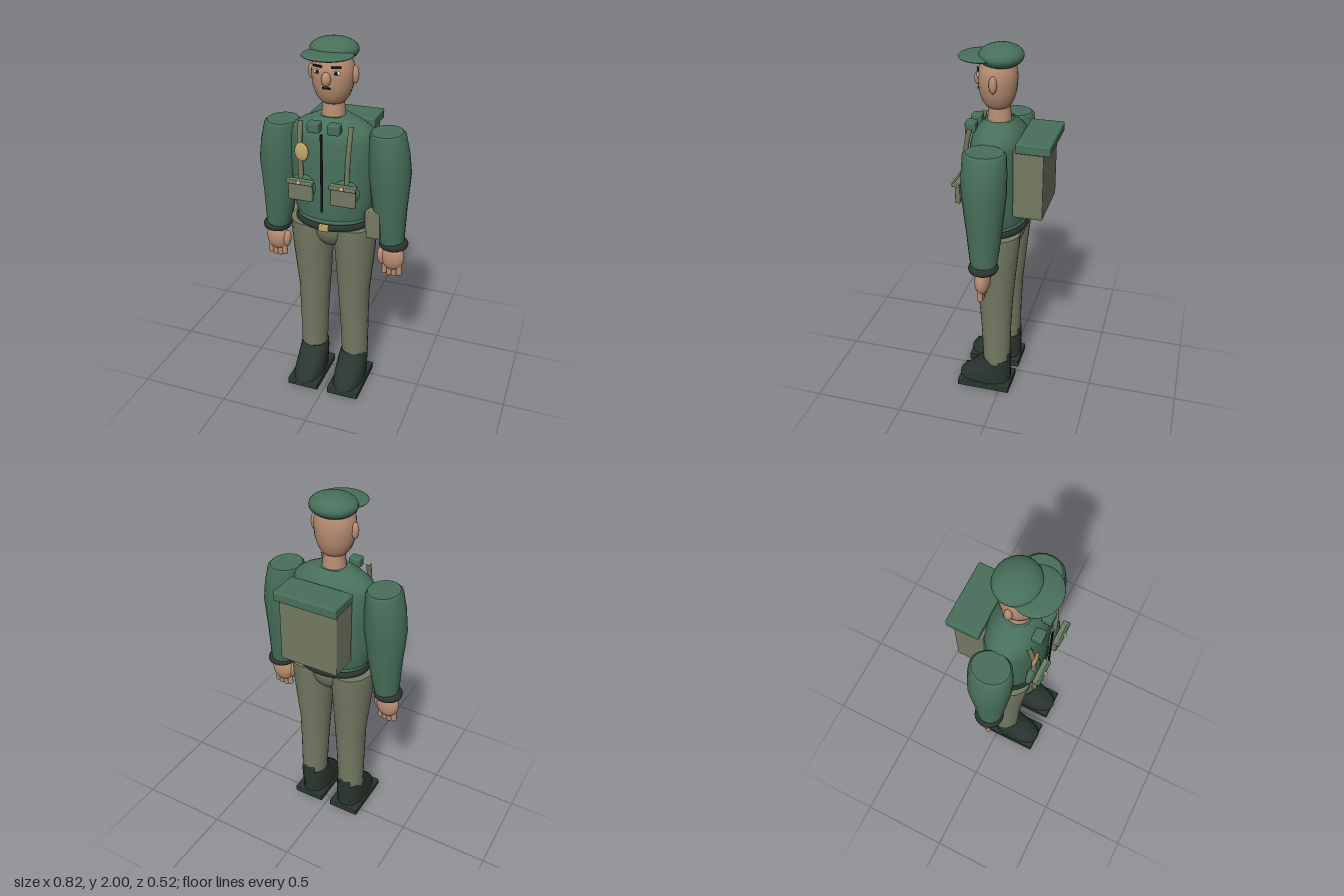
import * as THREE from 'three';
import { RoundedBoxGeometry } from 'three/addons/geometries/RoundedBoxGeometry.js';

const mat = (name, color) => {
  const m = new THREE.MeshStandardMaterial({ color });
  m.name = name;
  return m;
};

// Closed body from elliptical rings, bottom to top: [y, cx, cz, rx, rz]
function loft(rings, sides = 24, power = 1) {
  const pos = [], idx = [];
  const sq = v => Math.sign(v) * Math.abs(v) ** power;
  const ring = ([y, cx, cz, rx, rz]) => {
    const start = pos.length / 3;
    for (let i = 0; i < sides; i++) {
      const a = i / sides * Math.PI * 2;
      pos.push(cx + rx * sq(Math.cos(a)), y, cz + rz * sq(Math.sin(a)));
    }
    return start;
  };
  const starts = rings.map(ring);
  for (let r = 0; r < rings.length - 1; r++) {
    for (let i = 0; i < sides; i++) {
      const j = (i + 1) % sides, s = starts[r], t = starts[r + 1];
      idx.push(s + i, t + i, s + j, s + j, t + i, t + j);
    }
  }
  // End caps
  [rings[0], rings[rings.length - 1]].forEach((r, top) => {
    const s = ring(r), c = pos.length / 3;
    pos.push(r[1], r[0], r[2]);
    for (let i = 0; i < sides; i++) {
      const j = (i + 1) % sides;
      if (top) idx.push(c, s + j, s + i);
      else idx.push(c, s + i, s + j);
    }
  });
  const g = new THREE.BufferGeometry();
  g.setAttribute('position', new THREE.Float32BufferAttribute(pos, 3));
  g.setIndex(idx);
  g.computeVertexNormals();
  return g;
}

export function createModel() {
  const model = new THREE.Group();
  model.name = 'soldier';
  const green = mat('jacket green', 0x48705b);
  const khaki = mat('khaki', 0x747a63);
  const skin = mat('skin', 0xb88d72);
  const dark = mat('boot dark green', 0x2a362f);
  const gold = mat('brass', 0xc4a566);
  const black = mat('black', 0x161a19);
  const white = mat('eye white', 0xe4e2da);

  const add = (name, geo, material, x = 0, y = 0, z = 0, parent = model) => {
    const m = new THREE.Mesh(geo, material);
    m.name = name;
    m.position.set(x, y, z);
    parent.add(m);
    return m;
  };
  const ball = (name, material, x, y, z, rx, ry, rz) => {
    const m = add(name, new THREE.SphereGeometry(1, 24, 16), material, x, y, z);
    m.scale.set(rx, ry, rz);
    return m;
  };
  const box = (name, material, x, y, z, w, h, d, r = 0.005) =>
    add(name, r ? new RoundedBoxGeometry(w, h, d, 2, r) : new THREE.BoxGeometry(w, h, d), material, x, y, z);
  const band = (name, material, x, y, z, rx, rz, tube, h = tube) => {
    const g = new THREE.TorusGeometry(1, tube / rx, 10, 32).rotateX(Math.PI / 2);
    const m = add(name, g, material, x, y, z);
    m.scale.set(rx, rx * h / tube, rz);
    return m;
  };

  // Torso, belt and hips
  add('torso', loft([
    [1.05, 0, 0.04, 0.185, 0.135], [1.1, 0, 0.04, 0.205, 0.147], [1.2, 0, 0.04, 0.22, 0.15],
    [1.38, 0, 0.04, 0.23, 0.15], [1.5, 0, 0.04, 0.229, 0.142], [1.55, 0, 0.04, 0.215, 0.13],
    [1.585, 0, 0.04, 0.165, 0.105], [1.62, 0, 0.04, 0.085, 0.07],
  ], 32), green);
  band('jacketHem', green, 0, 1.075, 0.04, 0.187, 0.14, 0.013);
  band('belt', dark, 0, 1.045, 0.04, 0.193, 0.145, 0.014, 0.019);
  box('buckle', gold, 0, 1.048, 0.198, 0.055, 0.036, 0.018);
  ball('pelvis', khaki, 0, 1.025, 0.035, 0.12, 0.15, 0.135);

  // Neck and head
  add('neck', new THREE.CylinderGeometry(0.05, 0.064, 0.13, 24), skin, 0, 1.665, 0.04);
  add('head', loft([
    [1.672, 0, 0.045, 0.03, 0.03], [1.69, 0, 0.046, 0.062, 0.06], [1.72, 0, 0.047, 0.084, 0.08],
    [1.77, 0, 0.047, 0.102, 0.094], [1.83, 0, 0.047, 0.109, 0.099], [1.88, 0, 0.047, 0.104, 0.095],
    [1.94, 0, 0.045, 0.075, 0.07],
  ]), skin);
  ball('nose', skin, 0, 1.822, 0.147, 0.024, 0.035, 0.02);
  box('mouth', black, 0, 1.777, 0.142, 0.042, 0.009, 0.008, 0);
  ball('cap', green, 0, 1.942, 0.03, 0.122, 0.058, 0.111);
  ball('capVisor', green, 0, 1.935, 0.125, 0.128, 0.017, 0.118);

  // Jacket front
  box('zip', black, 0, 1.36, 0.217, 0.013, 0.42, 0.009, 0.003);
  ball('medal', gold, -0.117, 1.452, 0.188, 0.037, 0.05, 0.012);

  for (const s of [-1, 1]) {
    const side = s < 0 ? 'right' : 'left';
    // Face
    ball(side + 'Ear', skin, s * 0.112, 1.828, 0.042, 0.018, 0.044, 0.02);
    ball(side + 'Eye', white, s * 0.047, 1.853, 0.132, 0.022, 0.011, 0.008);
    ball(side + 'Pupil', black, s * 0.047, 1.853, 0.137, 0.009, 0.009, 0.006);
    const brow = box(side + 'Brow', black, s * 0.047, 1.88, 0.134, 0.05, 0.009, 0.009, 0);
    brow.rotation.y = s * 0.35;

    // Collar tab, strap and chest pouch
    box(side + 'CollarTab', green, s * 0.053, 1.588, 0.172, 0.062, 0.052, 0.055, 0.008);
    const strapPath = new THREE.CatmullRomCurve3([
      [0.132, 1.605, 0.155], [0.13, 1.52, 0.175], [0.125, 1.42, 0.184], [0.122, 1.3, 0.186],
    ].map(([x, y, z]) => new THREE.Vector3(s * x, y, z)));
    const strap = add(side + 'Strap', new THREE.TubeGeometry(strapPath, 16, 0.013, 10), khaki);
    strap.castShadow = false;
    ball(side + 'ChestPocket', green, s * 0.115, 1.262, 0.18, 0.073, 0.065, 0.024);
    box(side + 'Pouch', khaki, s * 0.114, 1.252, 0.217, 0.13, 0.1, 0.026);
    box(side + 'PouchFlap', khaki, s * 0.114, 1.306, 0.226, 0.14, 0.02, 0.04);
    box(side + 'PouchFlapTrim', green, s * 0.114, 1.309, 0.238, 0.138, 0.018, 0.014);
    ball(side + 'PouchButton', gold, s * 0.114, 1.308, 0.246, 0.012, 0.01, 0.01);

    // Sleeve and cuff
    add(side + 'Sleeve', loft([
      [0.93, s * 0.325, 0.037, 0.062, 0.065], [1.0, s * 0.318, 0.037, 0.073, 0.076],
      [1.15, s * 0.306, 0.037, 0.091, 0.092], [1.34, s * 0.3, 0.037, 0.11, 0.112],
      [1.45, s * 0.292, 0.037, 0.104, 0.113], [1.545, s * 0.283, 0.037, 0.09, 0.108],
      [1.557, s * 0.28, 0.037, 0.08, 0.095],
    ], 20), green);
    band(side + 'Cuff', dark, s * 0.333, 0.938, 0.037, 0.056, 0.056, 0.022);

    // Hand
    ball(side + 'Palm', skin, s * 0.332, 0.858, 0.042, 0.064, 0.078, 0.04);
    for (let i = 0; i < 4; i++) {
      const x = 0.292 + i * 0.026;
      const finger = add(side + 'Finger', new THREE.CapsuleGeometry(0.0155, 0.05, 4, 10), skin,
        s * x, i % 3 ? 0.782 : 0.79, 0.046);
      finger.rotation.z = s * (i - 1.5) * 0.06;
    }
    const thumb = ball(side + 'Thumb', skin, s * 0.272, 0.857, 0.05, 0.022, 0.05, 0.024);
    thumb.rotation.z = s * 0.1;

    // Trouser leg
    add(side + 'Leg', loft([
      [0.18, s * 0.124, 0.03, 0.075, 0.077], [0.4, s * 0.12, 0.032, 0.08, 0.083],
      [0.6, s * 0.115, 0.034, 0.087, 0.095], [0.85, s * 0.119, 0.035, 0.108, 0.12],
      [0.96, s * 0.12, 0.035, 0.114, 0.132], [1.03, s * 0.122, 0.035, 0.113, 0.135],
    ]), khaki);

    // Boot and sole
    add(side + 'Boot', loft([
      [0.03, s * 0.12, 0.102, 0.084, 0.152], [0.06, s * 0.12, 0.1, 0.084, 0.15],
      [0.1, s * 0.12, 0.078, 0.083, 0.129], [0.145, s * 0.12, 0.052, 0.081, 0.103],
      [0.18, s * 0.121, 0.034, 0.078, 0.085], [0.2, s * 0.122, 0.029, 0.074, 0.079],
    ], 24, 0.85), dark);
    box(side + 'BootHeel', dark, s * 0.122, 0.15, -0.034, 0.07, 0.18, 0.03, 0.01);
    box(side + 'Sole', dark, s * 0.12, 0.02, 0.094, 0.182, 0.04, 0.306);
  }

  // Hip pouch
  const hip = box('hipPouch', khaki, 0.237, 1.064, 0.085, 0.08, 0.15, 0.07);
  hip.rotation.z = 0.03;

  // Backpack
  box('backpack', khaki, 0, 1.34, -0.147, 0.325, 0.37, 0.155);
  box('backpackLid', green, 0, 1.54, -0.172, 0.35, 0.052, 0.175, 0.008);

  return model;
}
